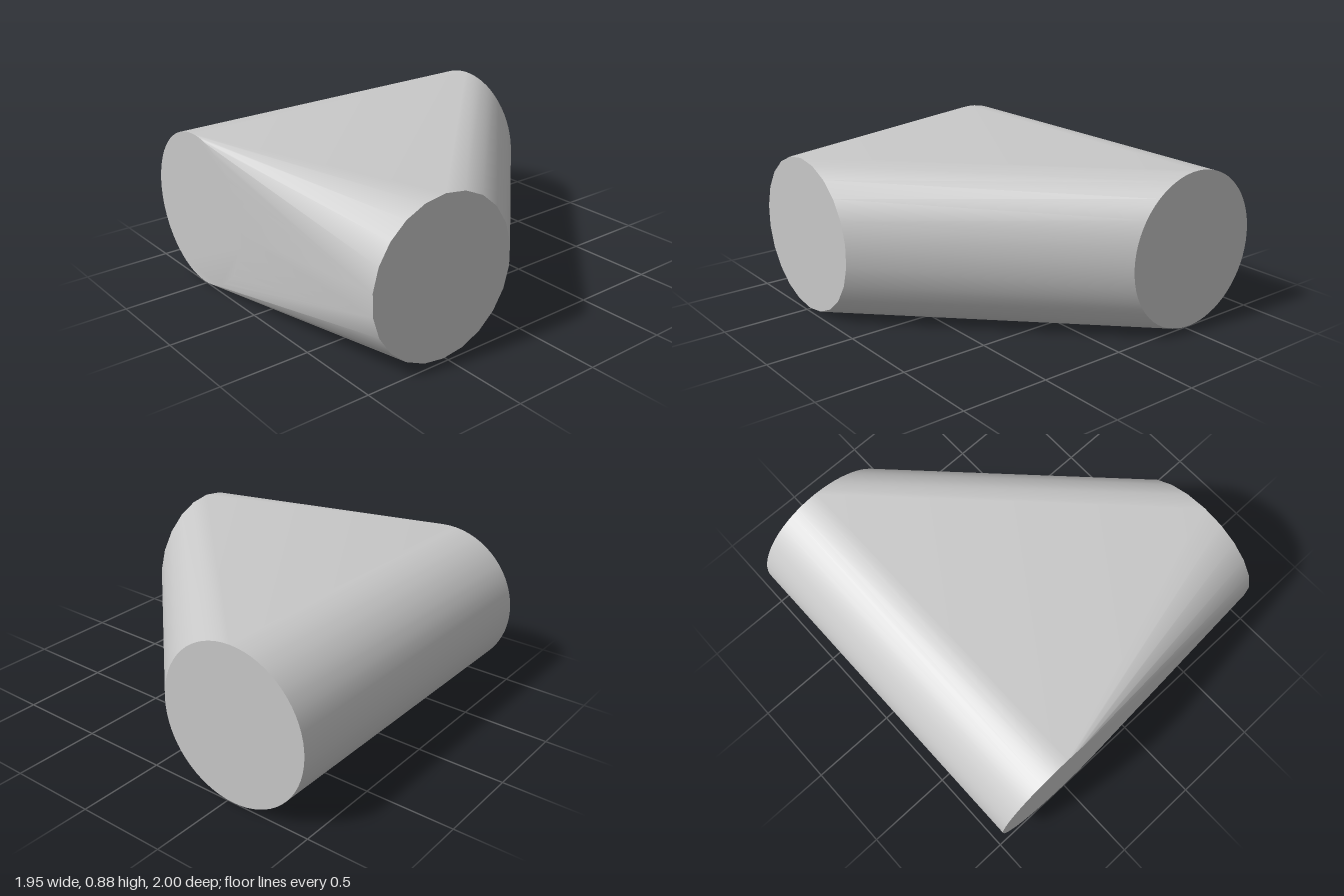
import * as THREE from 'three';
import { ConvexGeometry } from 'three/addons/geometries/ConvexGeometry.js';
import { toCreasedNormals } from 'three/addons/utils/BufferGeometryUtils.js';

const R = 0.4425;

// Ring of points starting at the top; place(u, y) puts each one in space
function ring(sides, place) {
  return Array.from({ length: sides }, (_, i) => {
    const a = (i / sides) * Math.PI * 2;
    return place(R * Math.sin(a), R + R * Math.cos(a));
  });
}

export function createModel() {
  const group = new THREE.Group();
  const grey = new THREE.MeshStandardMaterial({ color: 0xc8c8c8 });
  grey.name = 'grey';

  // Three round end faces: front, back and left side
  const cx = -0.975 + R;
  const points = [
    ...ring(64, (u, y) => new THREE.Vector3(cx + u, y, 1)),
    ...ring(64, (u, y) => new THREE.Vector3(cx + u, y, -1)),
    ...ring(22, (u, y) => new THREE.Vector3(0.975, y, 0.51 + u)),
  ];

  // Skin stretched around the three faces
  const geometry = toCreasedNormals(new ConvexGeometry(points), Math.PI / 6);
  const body = new THREE.Mesh(geometry, grey);
  body.name = 'teeBody';
  group.add(body);
  return group;
}
